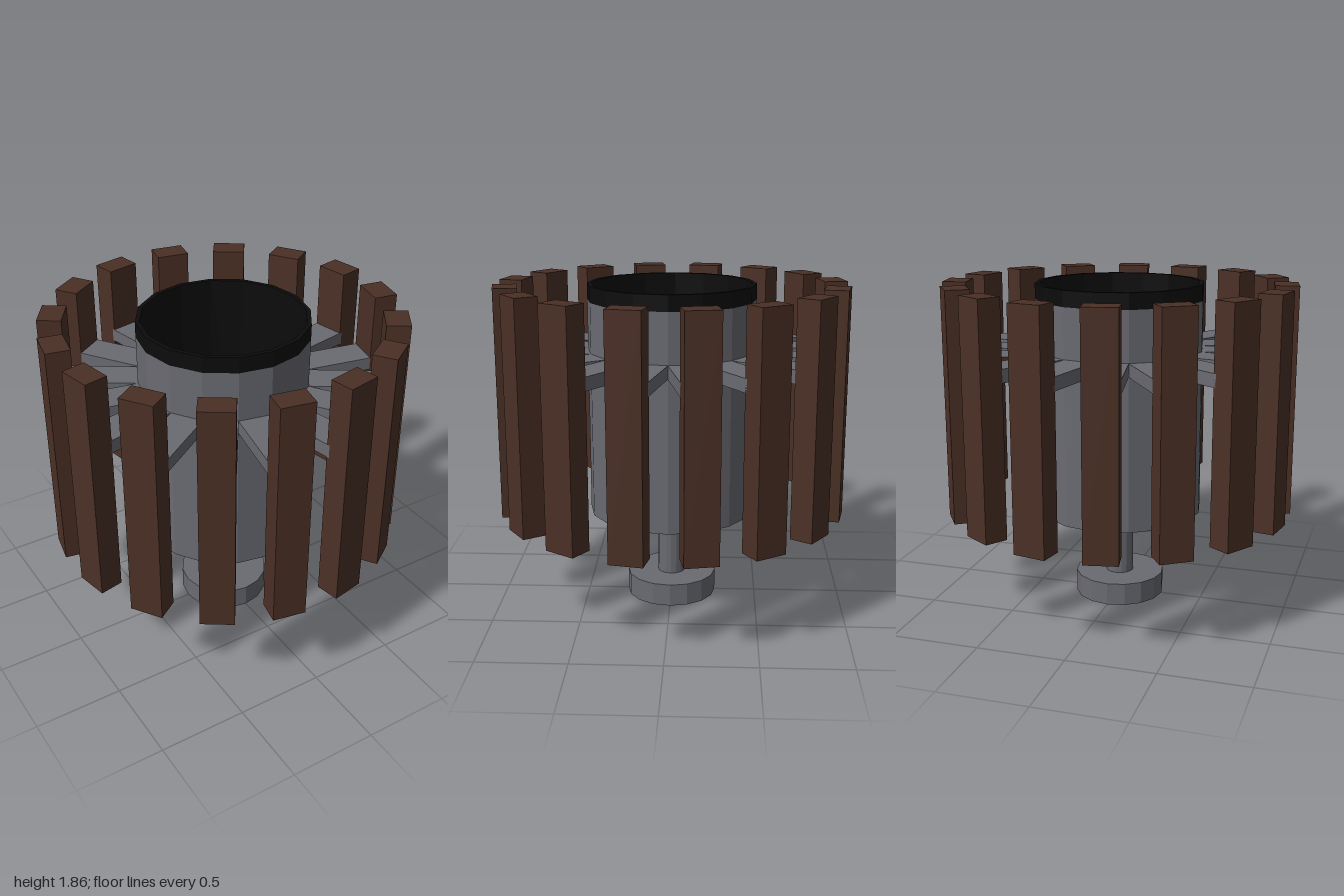
import * as THREE from 'three';

const SIDES = 16;
const material = (color) => new THREE.MeshStandardMaterial({ color, flatShading: true });

export function createModel() {
  const model = new THREE.Group();
  model.name = 'slattedBin';
  const metal = material(0x6a6b72);
  const wood = material(0x4b3026);
  const black = material(0x0c0c0c);

  const add = (parent, name, geometry, mat) => {
    const mesh = new THREE.Mesh(geometry, mat);
    mesh.name = name;
    parent.add(mesh);
    return mesh;
  };
  // upright faceted cylinder between two heights
  const drum = (name, radius, y0, y1) => {
    add(model, name, new THREE.CylinderGeometry(radius, radius, y1 - y0, SIDES), metal)
      .position.y = (y0 + y1) / 2;
  };
  // surface of revolution from [radius, height] pairs
  const lathe = (name, points, mat) =>
    add(model, name, new THREE.LatheGeometry(points.map(([r, y]) => new THREE.Vector2(r, y)), SIDES), mat);

  // foot and post
  drum('foot', 0.26, 0, 0.13);
  drum('post', 0.08, 0.13, 0.53);

  // outer shell with its underside, and the black liner: band, rim and hollow inside
  lathe('shell', [[0, 0.53], [0.48, 0.53], [0.48, 1.77]], metal);
  lathe('liner', [[0.48, 1.77], [0.48, 1.86], [0.455, 1.86], [0.455, 0.6], [0, 0.6]], black);

  // ring of wooden slats, each held by a flat metal arm
  const slatGeometry = new THREE.BoxGeometry(0.187, 1.315, 0.135);
  const armGeometry = new THREE.BoxGeometry(0.187, 0.075, 0.42);
  // two arms have one wooden side
  const halfWood = [wood, metal, metal, metal, metal, metal];
  for (let i = 0; i < SIDES; i++) {
    const spoke = new THREE.Group();
    spoke.name = 'spoke' + (i + 1);
    spoke.rotation.y = ((i + 0.5) * 2 * Math.PI) / SIDES;
    add(spoke, 'slat', slatGeometry, wood).position.set(0, 1.2025, 0.9325);
    add(spoke, 'arm', armGeometry, i === 5 || i === 14 ? halfWood : metal).position.set(0, 1.4475, 0.67);
    model.add(spoke);
  }
  return model;
}
